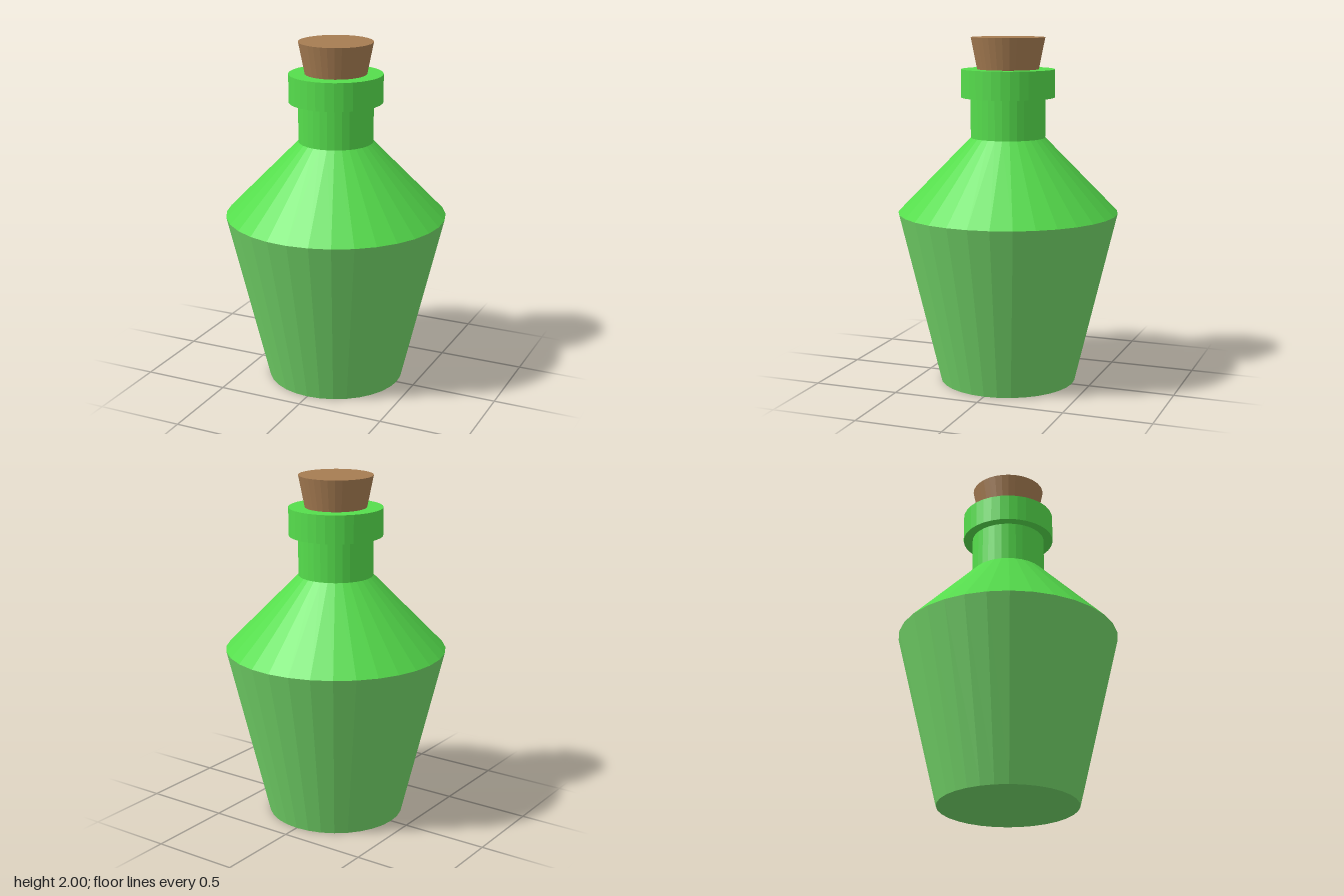
import * as THREE from 'three';

const SIDES = 32;

function material(color) {
  return new THREE.MeshStandardMaterial({ color, flatShading: true });
}

// Turned part from [radius, height] points, listed from bottom to top
function turned(name, profile, mat) {
  const points = profile.map(([r, y]) => new THREE.Vector2(r, y));
  const mesh = new THREE.Mesh(new THREE.LatheGeometry(points, SIDES), mat);
  mesh.name = name;
  return mesh;
}

export function createModel() {
  const bottle = new THREE.Group();
  bottle.name = 'corkedBottle';

  const glass = material(0x55dd4c);
  const liquidGlass = material(0x72d468);
  const corkWood = material(0xa67c52);

  // Tapered lower body with a flat base
  bottle.add(turned('body', [[0, 0], [0.395, 0], [0.635, 1]], liquidGlass));

  // Sloping shoulder
  bottle.add(turned('shoulder', [[0.635, 1], [0.214, 1.43]], glass));

  // Straight neck
  bottle.add(turned('neck', [[0.214, 1.43], [0.214, 1.66]], glass));

  // Thick collar around the mouth
  bottle.add(turned('collar', [[0.214, 1.66], [0.268, 1.66], [0.268, 1.82], [0, 1.82]], glass));

  // Cork, wider at the top, seated in the collar
  bottle.add(turned('cork', [[0.174, 1.81], [0.212, 2], [0, 2]], corkWood));

  return bottle;
}
